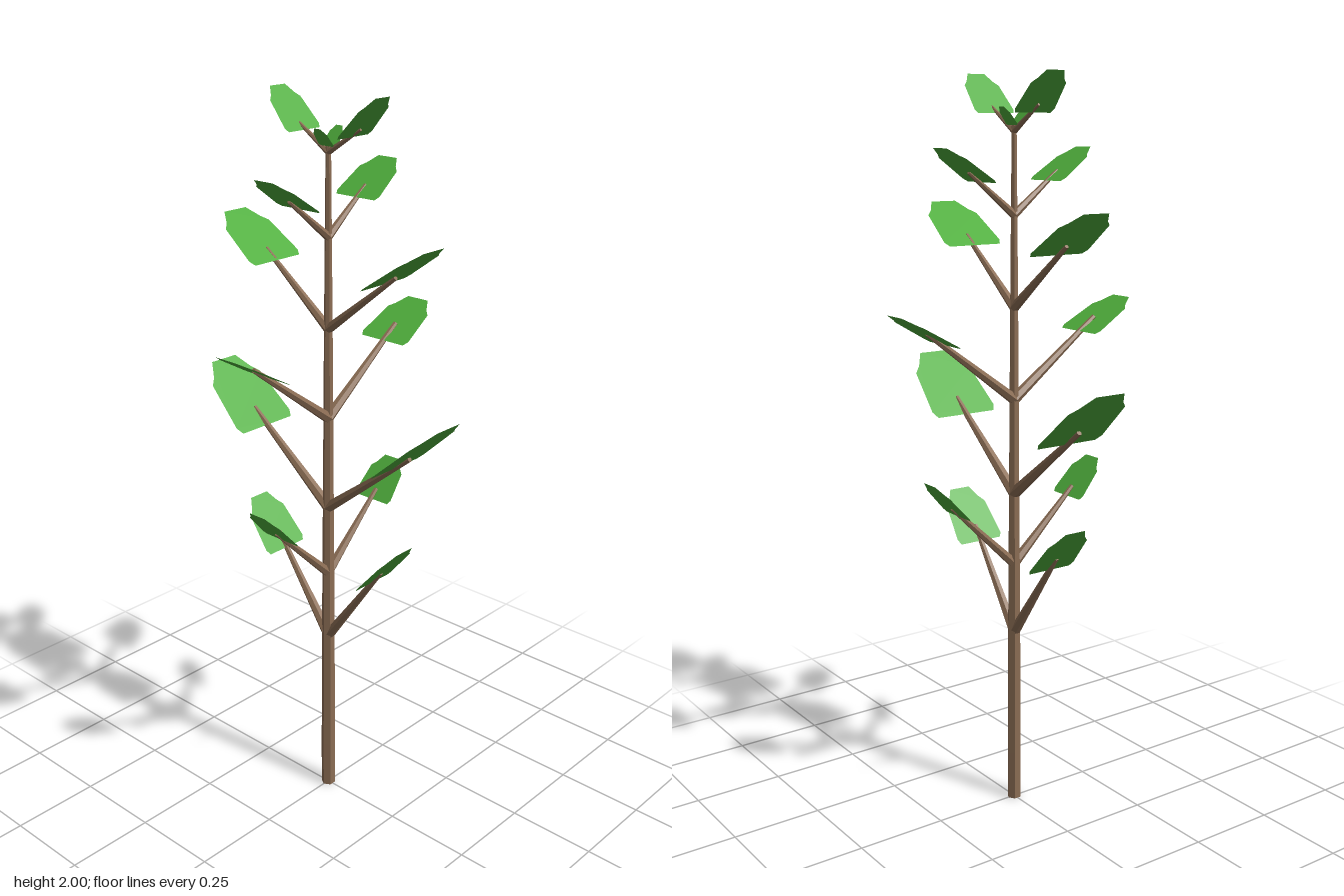
import * as THREE from 'three';

const bark = new THREE.MeshStandardMaterial({ color: 0x8b6d54, flatShading: true });
const green = new THREE.MeshStandardMaterial({ color: 0x4fae3c, flatShading: true, side: THREE.DoubleSide });

// Leaf half outline: [share of length, share of half width]
const outline = [[0, 0.9], [0.09, 1], [0.7, 0.88], [0.8, 0.68], [1, 0.43]];

// Flat leaf rising along +x from start to tip, given as [distance from trunk, height]
function makeLeaf([x0, y0], [x1, y1], halfWidth) {
  const length = Math.hypot(x1 - x0, y1 - y0);
  const right = outline.map(([t, w]) => new THREE.Vector2(t * length, w * halfWidth));
  const left = right.map((p) => new THREE.Vector2(p.x, -p.y)).reverse();
  const geometry = new THREE.ShapeGeometry(new THREE.Shape([...right, ...left]));
  geometry.rotateX(-Math.PI / 2);
  geometry.rotateZ(Math.atan2(y1 - y0, x1 - x0));
  geometry.translate(x0, y0, 0);
  const leaf = new THREE.Mesh(geometry, green);
  leaf.name = 'leaf';
  return leaf;
}

// Tapered branch from the trunk centre out to its end
function makeBranch(baseY, [x, y], r0, r1) {
  const direction = new THREE.Vector3(x, y - baseY, 0);
  const geometry = new THREE.CylinderGeometry(r1, r0, direction.length(), 6);
  geometry.translate(0, direction.length() / 2, 0);
  const branch = new THREE.Mesh(geometry, bark);
  branch.quaternion.setFromUnitVectors(new THREE.Vector3(0, 1, 0), direction.normalize());
  branch.position.y = baseY;
  branch.name = 'branch';
  return branch;
}

// Opposite pairs, alternating between the x axis and the z axis
const tiers = [
  { axis: 'x', base: 0.5, end: [0.19, 0.765], leaf: [[0.16, 0.725], [0.27, 0.855]], width: 0.073, r: 0.015 },
  { axis: 'z', base: 0.7, end: [0.2, 0.89], leaf: [[0.18, 0.865], [0.27, 0.965]], width: 0.063, r: 0.014 },
  { axis: 'x', base: 0.9, end: [0.28, 1.12], leaf: [[0.23, 1.08], [0.4, 1.235]], width: 0.103, r: 0.016 },
  { axis: 'z', base: 1.16, end: [0.27, 1.36], leaf: [[0.215, 1.325], [0.365, 1.41]], width: 0.08, r: 0.015 },
  { axis: 'x', base: 1.405, end: [0.222, 1.58], leaf: [[0.18, 1.555], [0.337, 1.665]], width: 0.09, r: 0.013 },
  { axis: 'z', base: 1.645, end: [0.14, 1.755], leaf: [[0.1, 1.73], [0.225, 1.815]], width: 0.071, r: 0.011 },
  { axis: 'x', base: 1.855, end: [0.105, 1.92], leaf: [[0.08, 1.9], [0.172, 2.0]], width: 0.061, r: 0.008 },
  { axis: 'z', base: 1.86, leaf: [[0.005, 1.87], [0.04, 1.915]], width: 0.025 },
];

export function createModel() {
  const tree = new THREE.Group();
  tree.name = 'sapling';

  // Trunk with a straight foot and a long taper
  const profile = [[0, 0], [0.02, 0], [0.02, 0.14], [0.0185, 0.5], [0.015, 0.95], [0.0115, 1.41], [0.007, 1.87], [0, 1.87]];
  const trunk = new THREE.Mesh(
    new THREE.LatheGeometry(profile.map(([r, y]) => new THREE.Vector2(r, y)), 6), bark);
  trunk.name = 'trunk';
  tree.add(trunk);

  // Branches with their leaves
  tiers.forEach(({ axis, base, end, leaf, width, r }, i) => {
    for (const side of [0, 1]) {
      const limb = new THREE.Group();
      limb.name = `limb${i + 1}${side ? 'B' : 'A'}`;
      if (end) limb.add(makeBranch(base, end, r, r * 0.45));
      limb.add(makeLeaf(leaf[0], leaf[1], width));
      limb.rotation.y = side * Math.PI + (axis === 'z' ? -Math.PI / 2 : 0);
      tree.add(limb);
    }
  });
  return tree;
}
